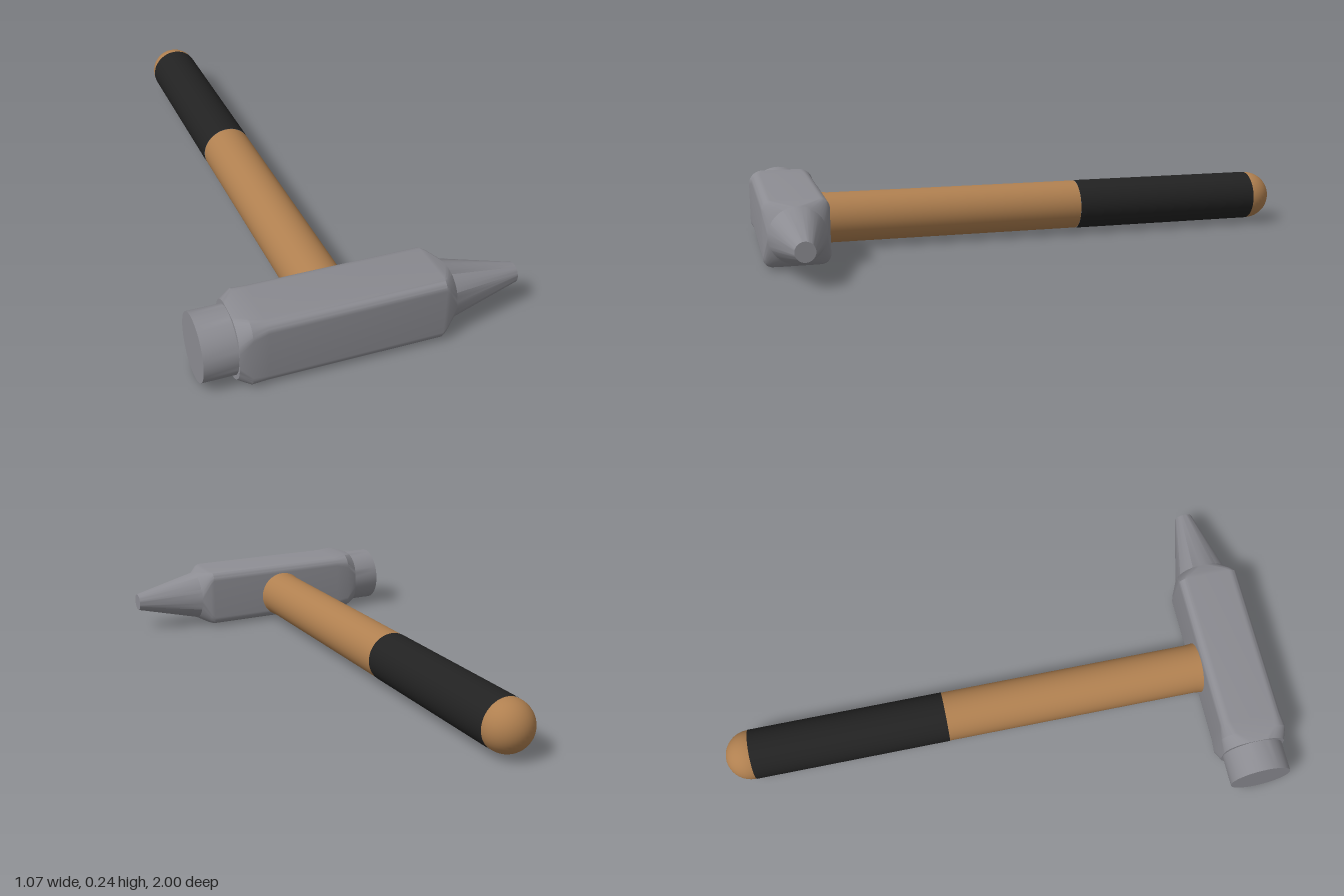
import * as THREE from 'three';
import { toCreasedNormals } from 'three/addons/utils/BufferGeometryUtils.js';

const material = (name, color) => {
  const m = new THREE.MeshStandardMaterial({ color });
  m.name = name;
  return m;
};

// Loft rounded squares along x; each section is [x, half width, corner radius]
function loftHead(sections, steps = 10) {
  const positions = [], index = [], ring = 4 * (steps + 1);
  for (const [x, h, c] of sections) {
    for (let q = 0; q < 4; q++) {
      const mid = (q + 0.5) * Math.PI / 2;
      for (let i = 0; i <= steps; i++) {
        const a = (q + i / steps) * Math.PI / 2;
        positions.push(
          x,
          Math.sign(Math.cos(mid)) * (h - c) + Math.cos(a) * c,
          Math.sign(Math.sin(mid)) * (h - c) + Math.sin(a) * c);
      }
    }
  }
  for (let s = 0; s < sections.length - 1; s++) {
    for (let i = 0; i < ring; i++) {
      const a = s * ring + i, b = s * ring + (i + 1) % ring;
      index.push(a, b, a + ring, b, b + ring, a + ring);
    }
  }
  const geometry = new THREE.BufferGeometry();
  geometry.setAttribute('position', new THREE.Float32BufferAttribute(positions, 3));
  geometry.setIndex(index);
  return toCreasedNormals(geometry, 0.5);
}

export function createModel() {
  const group = new THREE.Group();
  const steel = material('steel', 0x8c8c92);
  const wood = material('wood', 0xb08050);
  const rubber = material('rubber', 0x222222);

  const add = (name, geometry, mat, x, y, z) => {
    const mesh = new THREE.Mesh(geometry, mat);
    mesh.name = name;
    mesh.position.set(x, y, z);
    group.add(mesh);
    return mesh;
  };

  // Head: round striking face, swollen collar, square body, tapered peen
  add('head', loftHead([
    [-0.538, 0, 0],
    [-0.538, 0.108, 0.108],
    [-0.43, 0.108, 0.108],
    [-0.43, 0.111, 0.085],
    [-0.39, 0.118, 0.05],
    [-0.34, 0.111, 0.032],
    [0.235, 0.111, 0.032],
    [0.25, 0.108, 0.045],
    [0.28, 0.098, 0.09],
    [0.285, 0.096, 0.096],
    [0.535, 0.033, 0.033],
    [0.535, 0, 0],
  ]), steel, 0, 0.125, 0.877);

  // Handle: lathe profiles [radius, z] turned to run along z
  const turned = (name, profile, mat) => {
    const geometry = new THREE.LatheGeometry(profile.map(([r, z]) => new THREE.Vector2(r, z)), 48);
    geometry.rotateX(Math.PI / 2);
    return add(name, geometry, mat, -0.075, 0.11, 0);
  };
  turned('handle', [[0.09, -0.19], [0.09, 0.74], [0.093, 0.765], [0.093, 0.88]], wood);
  turned('grip', [[0.091, -0.905], [0.091, -0.19]], rubber);

  // Rounded wooden butt
  add('handleButt', new THREE.SphereGeometry(0.09, 40, 24), wood, -0.075, 0.11, -0.91);

  return group;
}
